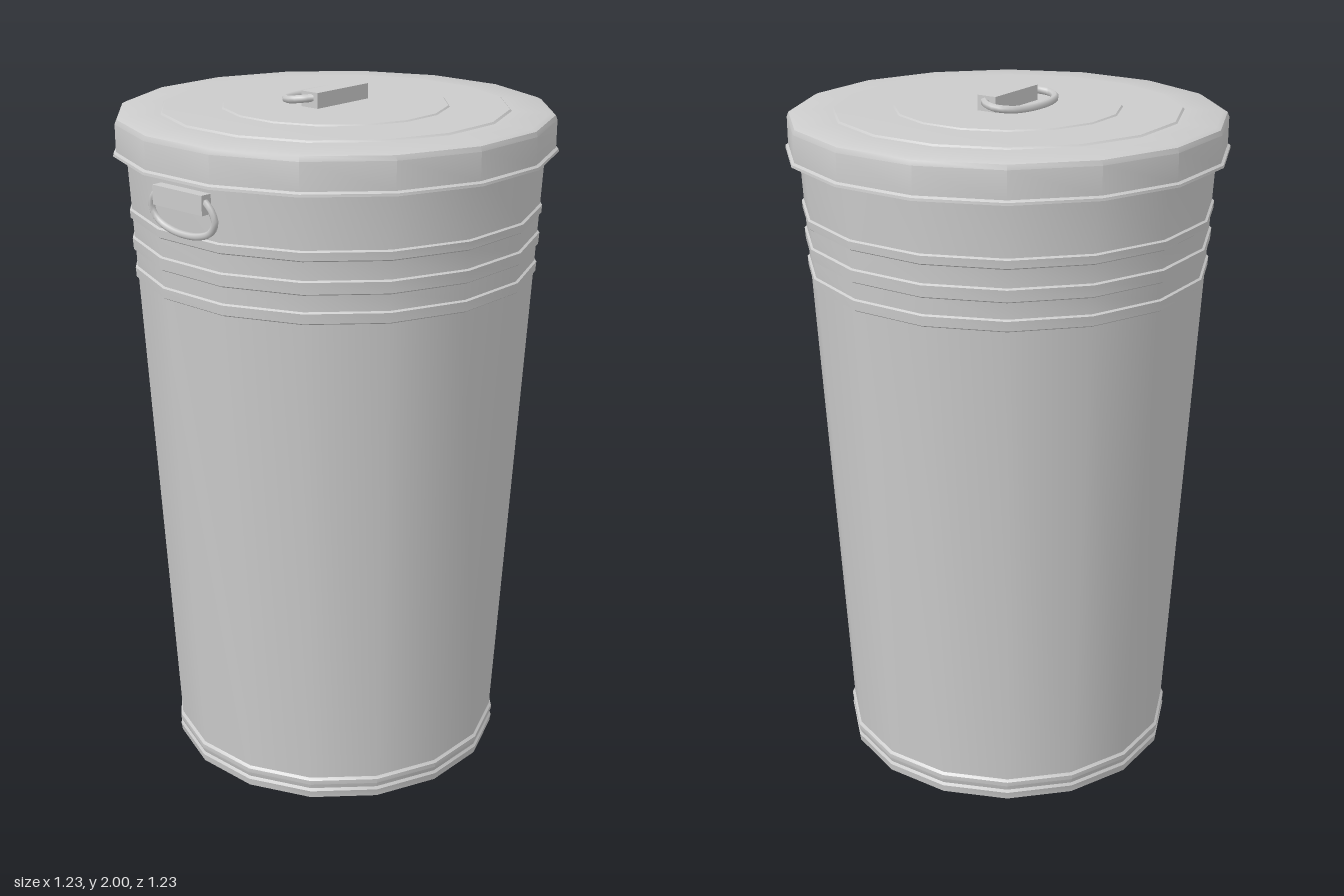
import * as THREE from 'three';
import { toCreasedNormals } from 'three/addons/utils/BufferGeometryUtils.js';

const SIDES = 16;
const FLAT = Math.cos(Math.PI / SIDES); // flat-to-flat radius / corner radius

const material = new THREE.MeshStandardMaterial({ color: 0xcccccc, side: THREE.DoubleSide });

function addMesh(parent, name, geometry) {
  const mesh = new THREE.Mesh(geometry, material);
  mesh.name = name;
  parent.add(mesh);
  return mesh;
}

// Sixteen-sided turned shape; profile radii are measured to the flats.
function turned(profile) {
  const points = profile.map(([r, y]) => new THREE.Vector2(r / FLAT, y));
  const lathe = new THREE.LatheGeometry(points, SIDES, Math.PI / SIDES);
  return toCreasedNormals(lathe, 0.5);
}

// Radius of the tapering wall at height y
const wall = (y) => 0.484 + (0.577 - 0.484) * (y - 0.06) / 1.78;

// Grip block with a bent wire loop; sits on y = 0, loop towards -z.
function makeHandle(name) {
  const handle = new THREE.Group();
  handle.name = name;
  const grip = addMesh(handle, 'grip', new THREE.BoxGeometry(0.21, 0.043, 0.06));
  grip.position.y = 0.0215;
  const half = [[0.1, 0.01], [0.125, -0.015], [0.134, -0.05], [0.11, -0.085], [0.06, -0.105]];
  const path = [...half, [0, -0.111], ...half.map(([x, z]) => [-x, z]).reverse()]
    .map(([x, z]) => new THREE.Vector3(x, 0.026 + z * 0.12, z));
  addMesh(handle, 'wireLoop', new THREE.TubeGeometry(new THREE.CatmullRomCurve3(path), 28, 0.011, 6));
  return handle;
}

export function createModel() {
  const bin = new THREE.Group();
  bin.name = 'dustbin';

  // Body: closed floor, foot bead, tapering wall with three raised ribs
  const body = [[0, 0], [0.488, 0], [0.491, 0.022], [0.486, 0.03], [0.491, 0.045], [0.491, 0.058], [wall(0.065), 0.065]];
  for (const [low, high] of [[1.49, 1.525], [1.57, 1.61], [1.66, 1.69]]) {
    body.push([wall(low), low], [wall(low) + 0.006, low + 0.004],
      [wall(high) + 0.006, high - 0.004], [wall(high), high]);
  }
  body.push([wall(1.9), 1.9]);
  addMesh(bin, 'body', turned(body));

  // Lid: hollow skirt with flared lip, and a top rising in two shallow steps
  addMesh(bin, 'lid', turned([
    [0.592, 1.925], [0.598, 1.838], [0.613, 1.838], [0.612, 1.845], [0.605, 1.85],
    [0.605, 1.925], [0.6, 1.938], [0.588, 1.944], [0.482, 1.946], [0.477, 1.951],
    [0.314, 1.953], [0.31, 1.957], [0, 1.957],
  ]));

  // Lid handle
  const lidHandle = makeHandle('lidHandle');
  lidHandle.position.y = 1.957;
  bin.add(lidHandle);

  // Side handle hanging on the right wall, loop downwards
  const sideHandle = makeHandle('sideHandle');
  sideHandle.quaternion.setFromRotationMatrix(new THREE.Matrix4().makeBasis(
    new THREE.Vector3(0, 0, -1), new THREE.Vector3(-1, 0, 0), new THREE.Vector3(0, 1, 0)));
  sideHandle.scale.setScalar(0.88);
  sideHandle.position.set(-0.57, 1.79, 0);
  bin.add(sideHandle);

  return bin;
}
